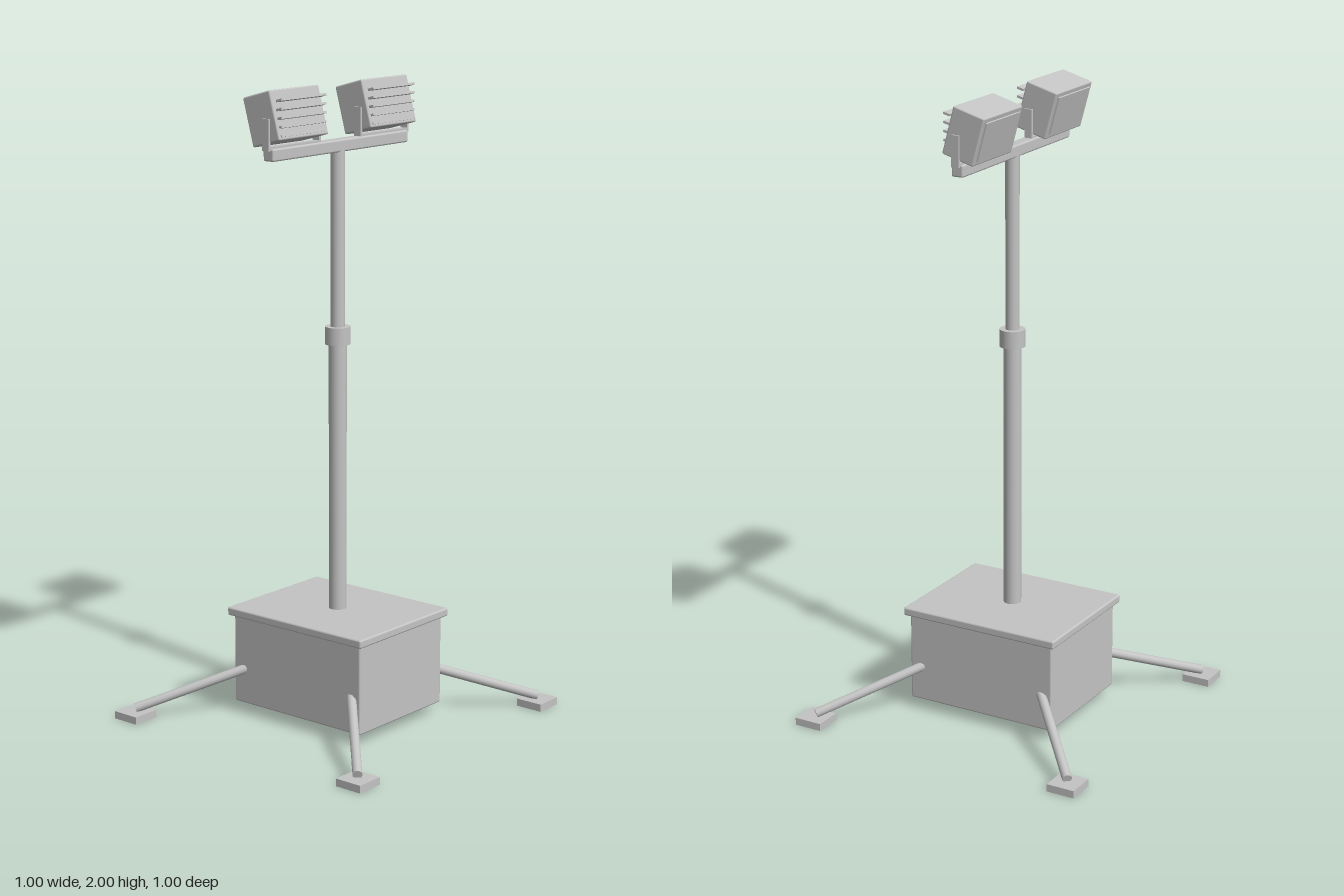
import * as THREE from 'three';
import { RoundedBoxGeometry } from 'three/addons/geometries/RoundedBoxGeometry.js';

const grey = new THREE.MeshStandardMaterial({ color: 0xc4c4c4 });
grey.name = 'light grey';

function add(parent, name, geometry, x, y, z) {
  const mesh = new THREE.Mesh(geometry, grey);
  mesh.name = name;
  mesh.position.set(x, y, z);
  parent.add(mesh);
  return mesh;
}

const rounded = (w, h, d, r = 0.006) => new RoundedBoxGeometry(w, h, d, 2, r);
const box = (w, h, d) => new THREE.BoxGeometry(w, h, d);

// Upright tube between two heights
function tube(parent, name, radius, y0, y1) {
  return add(parent, name, new THREE.CylinderGeometry(radius, radius, y1 - y0, 20), 0, (y0 + y1) / 2, 0);
}

// Straight rod between two points
function rod(parent, name, a, b, radius) {
  const dir = b.clone().sub(a);
  const mesh = add(parent, name, new THREE.CylinderGeometry(radius, radius, dir.length(), 12), 0, 0, 0);
  mesh.position.copy(a).add(b).multiplyScalar(0.5);
  mesh.quaternion.setFromUnitVectors(new THREE.Vector3(0, 1, 0), dir.normalize());
}

function floodlight(x) {
  const tilt = -0.27;
  const group = new THREE.Group();
  group.name = 'floodlight';
  group.position.x = x;

  // Tilted housing with the lens on its rear, downward face
  const head = new THREE.Group();
  head.name = 'lampHead';
  head.position.set(0, 1.913, -0.023);
  head.rotation.x = tilt;
  add(head, 'housing', rounded(0.224, 0.15, 0.108, 0.005), 0, 0, 0);
  add(head, 'lens', box(0.194, 0.12, 0.009), 0, 0, -0.0545);
  group.add(head);

  // Cooling fins stacked upright in front of the housing
  for (let i = 0; i < 5; i++) {
    const fin = add(group, 'coolingFin', box(0.204, 0.007, 0.022), 0, 1.865 + i * 0.0265, 0.038);
    fin.rotation.x = tilt;
  }

  // U-shaped bracket
  for (const side of [-1, 1]) {
    add(group, 'bracketArm', box(0.009, 0.095, 0.025), side * 0.1145, 1.868, 0);
  }
  add(group, 'bracketBase', box(0.238, 0.01, 0.025), 0, 1.828, 0);
  return group;
}

export function createModel() {
  const model = new THREE.Group();
  model.name = 'lightTower';

  // Base cabinet
  add(model, 'cabinet', rounded(0.406, 0.29, 0.512), 0, 0.18, 0);
  add(model, 'lid', rounded(0.438, 0.027, 0.542), 0, 0.333, 0);

  // Telescopic mast
  tube(model, 'lowerMast', 0.028, 0.34, 1.21);
  tube(model, 'mastCollar', 0.04, 1.195, 1.25);
  tube(model, 'upperMast', 0.022, 1.24, 1.8);

  // Crossbar and lamps
  add(model, 'crossbar', rounded(0.64, 0.038, 0.04), 0, 1.808, 0);
  for (const side of [-1, 1]) model.add(floodlight(side * 0.2125));

  // Outriggers with square feet
  for (const sx of [-1, 1]) {
    for (const sz of [-1, 1]) {
      rod(model, 'outrigger', new THREE.Vector3(sx * 0.19, 0.15, sz * 0.212),
        new THREE.Vector3(sx * 0.455, 0.033, sz * 0.453), 0.015);
      add(model, 'foot', box(0.092, 0.024, 0.092), sx * 0.454, 0.012, sz * 0.454);
    }
  }
  return model;
}
